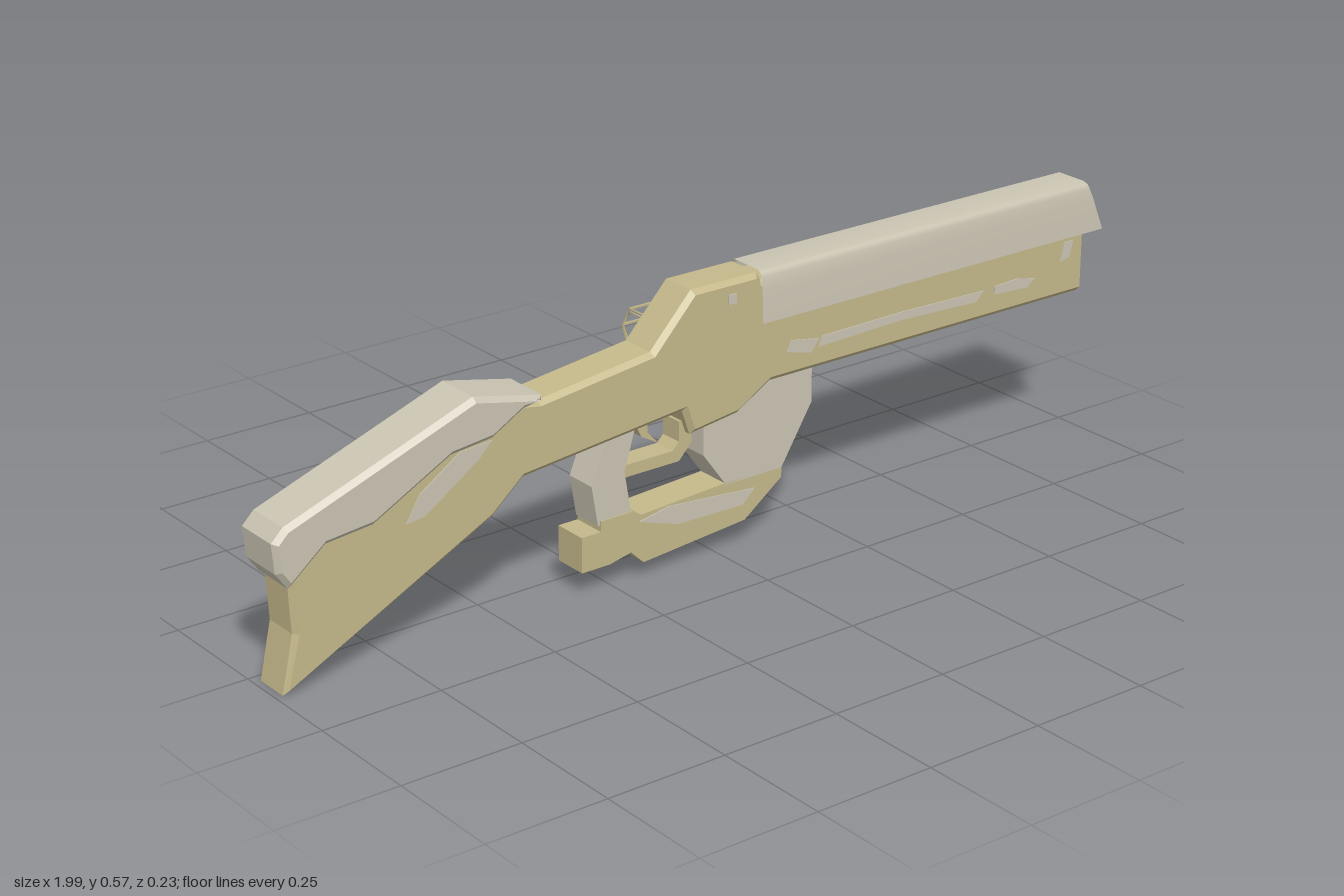
import * as THREE from 'three';

const MID = 0.0575; // z of the symmetry plane

export function createModel() {
  const model = new THREE.Group();
  const tan = new THREE.MeshStandardMaterial({ color: 0xc4b88a });
  const stone = new THREE.MeshStandardMaterial({ color: 0xcac4b2, side: THREE.DoubleSide });

  const add = (name, geometry, material, parent = model) => {
    const mesh = new THREE.Mesh(geometry, material);
    mesh.name = name;
    parent.add(mesh);
    return mesh;
  };
  // Side outline extruded across z, centred on the symmetry plane, with optional chamfer
  const slab = (points, width, bevel = 0) => {
    const shape = new THREE.Shape(points.map(([x, y]) => new THREE.Vector2(x, y)));
    const geometry = new THREE.ExtrudeGeometry(shape, {
      depth: width - 2 * bevel, bevelEnabled: bevel > 0, bevelSegments: 1,
      bevelThickness: bevel, bevelSize: bevel, bevelOffset: -bevel,
    });
    return geometry.translate(0, 0, MID - width / 2 + bevel);
  };

  // Stock, receiver and barrel in one chamfered body with a flat muzzle
  const bodyGeometry = slab([
    [-0.985, 0.005], [-0.527, 0.23], [-0.457, 0.29], [-0.088, 0.327], [-0.07, 0.275],
    [0.045, 0.29], [0.125, 0.337], [0.94, 0.337], [0.94, 0.55], [0.1, 0.55], [0.09, 0.567],
    [-0.067, 0.567], [-0.163, 0.465], [-0.42, 0.433], [-0.564, 0.46], [-0.975, 0.31],
    [-0.965, 0.214], [-0.96, 0.12],
  ], 0.095, 0.01);
  const pos = bodyGeometry.attributes.position;
  for (let i = 0; i < pos.count; i++) if (pos.getX(i) > 0.92) pos.setX(i, 0.94);
  bodyGeometry.computeVertexNormals();
  add('body', bodyGeometry, tan);

  // Cover wrapped over the stock
  add('stockCover', slab([
    [-0.97, 0.215], [-0.89, 0.28], [-0.79, 0.29], [-0.62, 0.38], [-0.53, 0.39],
    [-0.46, 0.43], [-0.42, 0.436], [-0.42, 0.447], [-0.57, 0.48], [-0.975, 0.335],
    [-1, 0.31], [-0.995, 0.25],
  ], 0.117, 0.01), stone);

  // Open sleeve over the barrel, its front end cut at a slant
  const half = [[0.055, 0.465], [0.052, 0.53], [0.049, 0.556], [0.045, 0.566], [0.036, 0.571]];
  const profile = [
    ...half.map(([w, y]) => [MID - w, y]),
    ...half.slice().reverse().map(([w, y]) => [MID + w, y]),
  ];
  const sleeve = new THREE.PlaneGeometry(1, 1, 1, profile.length - 1);
  profile.forEach(([z, y], i) => {
    const front = 0.95 + 0.04 * (0.571 - y) / 0.106;
    sleeve.attributes.position.setXYZ(2 * i, 0.095, y, z);
    sleeve.attributes.position.setXYZ(2 * i + 1, front, y, z);
  });
  sleeve.computeVertexNormals();
  add('barrelSleeve', sleeve, stone);

  // Lower lever: front plate, rear arm and bottom bow
  add('frontPlate', slab([
    [-0.035, 0.22], [0.02, 0.145], [0.158, 0.145], [0.232, 0.265], [0.232, 0.345],
    [0.1, 0.35], [-0.035, 0.3],
  ], 0.075), stone);
  add('rearArm', slab([
    [-0.285, 0.14], [-0.206, 0.14], [-0.222, 0.235], [-0.195, 0.325], [-0.26, 0.32], [-0.299, 0.225],
  ], 0.07), stone);
  add('bottomBow', slab([
    [-0.325, 0.055], [-0.26, 0.055], [-0.21, 0.066], [-0.18, 0.037], [0.067, 0.058],
    [0.158, 0.125], [0.158, 0.149], [0.02, 0.149], [-0.185, 0.138], [-0.206, 0.15],
    [-0.28, 0.15], [-0.28, 0.128], [-0.325, 0.128],
  ], 0.075), tan);

  // Trigger and its guard
  add('triggerGuard', slab([
    [-0.225, 0.218], [-0.085, 0.218], [-0.055, 0.25], [-0.055, 0.3], [-0.085, 0.3],
    [-0.085, 0.258], [-0.1, 0.243], [-0.225, 0.243],
  ], 0.05), tan);
  add('trigger', slab([
    [-0.185, 0.325], [-0.165, 0.285], [-0.125, 0.262], [-0.15, 0.29], [-0.15, 0.325],
  ], 0.025), tan);

  // Pale worn streaks as thin plates on both sides
  const streaks = [
    [0.097, [[-0.72, 0.27], [-0.68, 0.275], [-0.56, 0.355], [-0.53, 0.385], [-0.6, 0.38], [-0.69, 0.32]]],
    [0.097, [[0.16, 0.39], [0.22, 0.375], [0.24, 0.4], [0.17, 0.412]]],
    [0.097, [[0.24, 0.382], [0.45, 0.388], [0.65, 0.38], [0.67, 0.4], [0.45, 0.405], [0.25, 0.403]]],
    [0.097, [[0.7, 0.385], [0.79, 0.38], [0.81, 0.395], [0.76, 0.405], [0.7, 0.402]]],
    [0.097, [[0.88, 0.415], [0.905, 0.42], [0.915, 0.455], [0.89, 0.455]]],
    [0.097, [[0.015, 0.52], [0.035, 0.52], [0.035, 0.54], [0.015, 0.54]]],
    [0.077, [[-0.19, 0.125], [-0.1, 0.095], [0.06, 0.092], [0.09, 0.12], [0, 0.128], [-0.12, 0.138]]],
  ];
  const marks = new THREE.Group();
  marks.name = 'wornStreaks';
  model.add(marks);
  for (const [width, points] of streaks) {
    for (const side of [-1, 1]) {
      const plate = slab(points, 0.004);
      add('streak', plate, stone, marks).position.z = side * (width / 2 - 0.001);
    }
  }

  // Cluster of open hexagon rings on the back of the receiver
  const rings = new THREE.Group();
  rings.name = 'hexagonRings';
  model.add(rings);
  const R = 0.044;
  const hexRing = (x, y, z) => {
    const ring = add('hexagonRing', new THREE.TorusGeometry(R, 0.0025, 4, 6), tan, rings);
    ring.rotation.y = Math.PI / 2;
    ring.position.set(x, y, z);
  };
  hexRing(-0.07, 0.429, -0.07);
  for (const y of [0.467, 0.389]) {
    for (const x of [-0.12, -0.04]) hexRing(x, y, -0.002);
    // Bars joining each pair of rings
    for (const a of [-1, 0, 1]) {
      const bar = add('ringBar', new THREE.BoxGeometry(0.08, 0.004, 0.004), tan, rings);
      bar.position.set(-0.08, y + R * Math.sin(a * Math.PI / 3), -0.002 - R * Math.cos(a * Math.PI / 3));
    }
  }
  return model;
}
